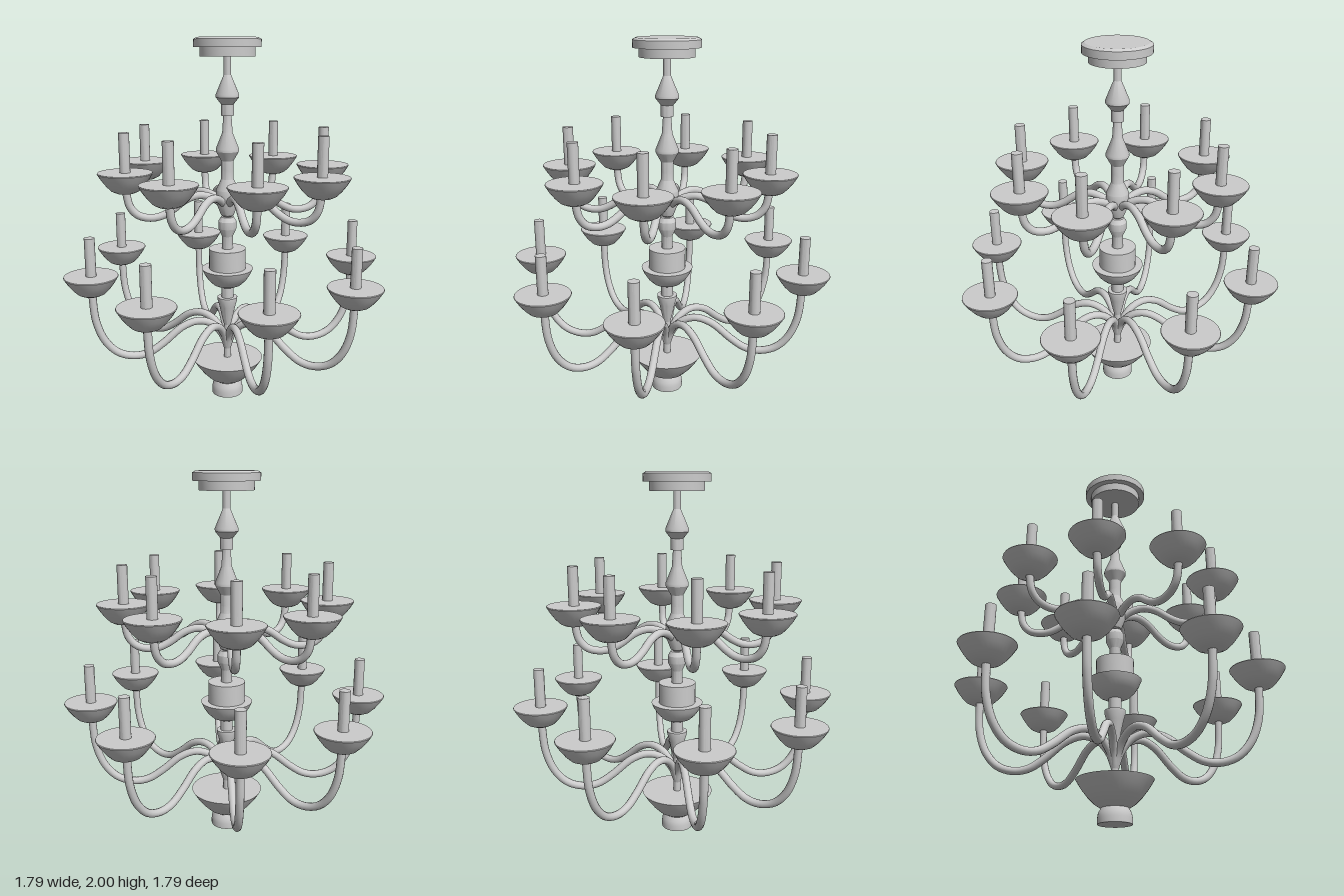
import * as THREE from 'three';
import { toCreasedNormals } from 'three/addons/utils/BufferGeometryUtils.js';

const material = new THREE.MeshStandardMaterial({ color: 0xcccccc });

// Turned part from [radius, height] pairs, listed from bottom to top
function turned(name, profile, segments = 32) {
  const points = profile.map(([r, y]) => new THREE.Vector2(r, y));
  const geometry = toCreasedNormals(new THREE.LatheGeometry(points, segments), 0.45);
  const mesh = new THREE.Mesh(geometry, material);
  mesh.name = name;
  return mesh;
}

// One arm with its drip cup and candle, reaching out along +x
function createArm(path, reach, cupY, candleTop) {
  const arm = new THREE.Group();
  const curve = new THREE.CatmullRomCurve3(path.map(([x, y]) => new THREE.Vector3(x, y, 0)));
  const tube = new THREE.Mesh(new THREE.TubeGeometry(curve, 48, 0.021, 12), material);
  tube.name = 'curvedArm';

  const cup = turned('dripCup', [
    [0, 0], [0.05, 0], [0.075, 0.012], [0.1, 0.037], [0.125, 0.07], [0.145, 0.103], [0.143, 0.107], [0, 0.107],
  ]);
  cup.position.set(reach, cupY, 0);

  const candle = turned('candle', [
    [0, cupY + 0.1], [0.028, cupY + 0.1], [0.028, candleTop], [0, candleTop],
  ], 20);
  candle.position.x = reach;
  arm.add(tube, cup, candle);
  return arm;
}

// Ring of eight arms
function createTier(name, ...armSpec) {
  const tier = new THREE.Group();
  tier.name = name;
  const arm = createArm(...armSpec);
  for (let i = 0; i < 8; i++) {
    const copy = arm.clone();
    copy.name = 'arm' + (i + 1);
    copy.rotation.y = (i * Math.PI) / 4;
    tier.add(copy);
  }
  return tier;
}

export function createModel() {
  const model = new THREE.Group();
  model.name = 'chandelier';

  // Ceiling mount
  model.add(turned('ceilingMount', [
    [0, 1.903], [0.145, 1.903], [0.145, 1.95], [0.177, 1.95], [0.177, 1.99], [0.16, 2], [0, 2],
  ], 48));

  // Central column
  model.add(turned('rod', [[0, 0.2], [0.02, 0.2], [0.02, 1.92], [0, 1.92]], 20));
  model.add(turned('topBead', [
    [0.02, 1.81], [0.062, 1.71], [0.062, 1.695], [0.034, 1.66], [0.034, 1.6], [0.02, 1.6],
  ].reverse()));
  model.add(turned('middleBead', [
    [0.02, 1.3], [0.034, 1.3], [0.034, 1.36], [0.062, 1.41], [0.062, 1.425], [0.028, 1.51], [0.022, 1.6],
  ]));
  model.add(turned('upperHub', [
    [0.02, 1.05], [0.035, 1.06], [0.062, 1.13], [0.062, 1.2], [0.034, 1.26], [0.034, 1.31],
  ]));
  model.add(turned('collar', [
    [0.02, 0.86], [0.03, 0.86], [0.03, 0.94], [0.05, 0.985], [0.05, 1.025], [0.035, 1.05], [0, 1.05],
  ]));
  model.add(turned('drum', [[0, 0.74], [0.102, 0.74], [0.102, 0.87], [0, 0.87]]));
  model.add(turned('centralBowl', [
    [0, 0.65], [0.05, 0.65], [0.08, 0.664], [0.107, 0.69], [0.13, 0.725], [0.143, 0.755], [0, 0.757],
  ]));
  model.add(turned('lowerHub', [
    [0.02, 0.42], [0.03, 0.46], [0.045, 0.53], [0.056, 0.57], [0.056, 0.585], [0.034, 0.585], [0.034, 0.66],
  ]));

  // Bottom bowl and finial
  model.add(turned('bottomBowl', [
    [0, 0.078], [0.07, 0.078], [0.105, 0.1], [0.14, 0.135], [0.173, 0.177], [0.2, 0.22], [0, 0.22],
  ], 40));
  model.add(turned('finial', [
    [0, 0], [0.088, 0], [0.088, 0.03], [0.084, 0.055], [0.07, 0.08], [0, 0.085],
  ]));

  // Two tiers of arms
  model.add(createTier('lowerTier', [
    [0, 0.28], [0.03, 0.36], [0.09, 0.43], [0.17, 0.456], [0.26, 0.43], [0.37, 0.345], [0.45, 0.297],
    [0.53, 0.286], [0.62, 0.315], [0.69, 0.39], [0.735, 0.51], [0.75, 0.68],
  ], 0.75, 0.665, 0.98));
  model.add(createTier('upperTier', [
    [0, 1.07], [0.03, 1.12], [0.09, 1.162], [0.16, 1.177], [0.23, 1.157], [0.31, 1.102], [0.37, 1.074],
    [0.43, 1.069], [0.49, 1.088], [0.53, 1.135], [0.55, 1.225],
  ], 0.55, 1.212, 1.525));

  return model;
}
